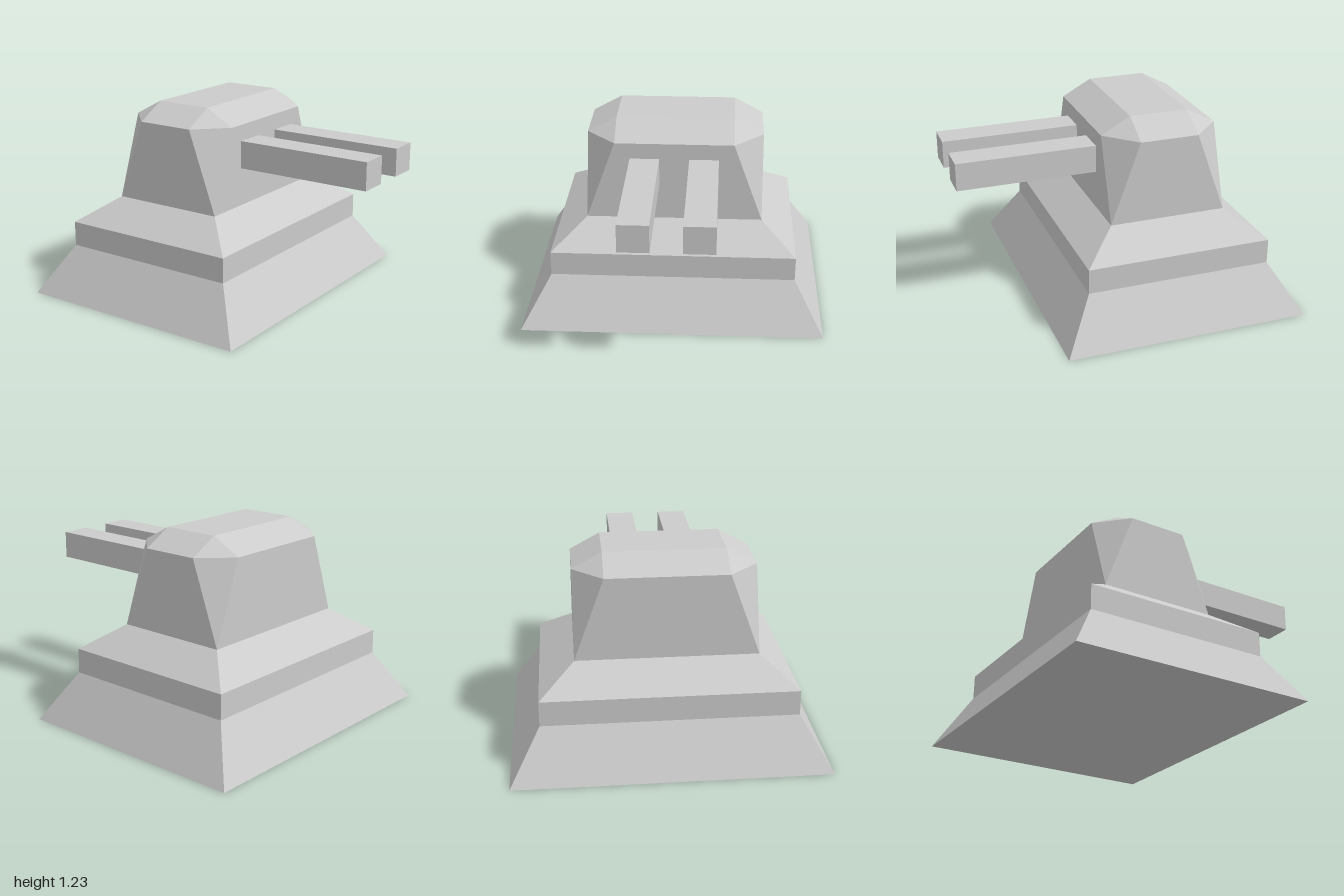
import * as THREE from 'three';

const CENTER_X = -0.2325;

// Eight-point rectangular ring; cut is the corner chamfer (0 = sharp corner)
function ring([y, hx, hz, cut = 0]) {
  const points = [];
  for (const [sx, sz] of [[1, 1], [1, -1], [-1, -1], [-1, 1]]) {
    const alongZ = [sx * hx, y, sz * (hz - cut)];
    const alongX = [sx * (hx - cut), y, sz * hz];
    points.push(...(sx === sz ? [alongX, alongZ] : [alongZ, alongX]));
  }
  return points.map(p => new THREE.Vector3(...p));
}

// Skin a stack of rings, bottom to top, with optional end caps
function loft(sections, capBottom, capTop) {
  const rings = sections.map(ring);
  const positions = [];
  const tri = (a, b, c) => {
    const area = b.clone().sub(a).cross(c.clone().sub(a)).length();
    if (area > 1e-6) for (const p of [a, b, c]) positions.push(p.x, p.y, p.z);
  };
  for (let r = 0; r < rings.length - 1; r++) {
    const lo = rings[r], hi = rings[r + 1];
    for (let i = 0; i < 8; i++) {
      const j = (i + 1) % 8;
      tri(lo[i], lo[j], hi[j]);
      tri(lo[i], hi[j], hi[i]);
    }
  }
  const first = rings[0], last = rings[rings.length - 1];
  for (let i = 1; i < 7; i++) {
    if (capBottom) tri(first[0], first[i + 1], first[i]);
    if (capTop) tri(last[0], last[i], last[i + 1]);
  }
  const geometry = new THREE.BufferGeometry();
  geometry.setAttribute('position', new THREE.Float32BufferAttribute(positions, 3));
  geometry.computeVertexNormals();
  return geometry;
}

export function createModel() {
  const model = new THREE.Group();
  model.name = 'gunTurret';
  const material = new THREE.MeshStandardMaterial({ color: 0xcccccc, flatShading: true });

  const add = (name, geometry, x, y, z) => {
    const mesh = new THREE.Mesh(geometry, material);
    mesh.name = name;
    mesh.position.set(x, y, z);
    model.add(mesh);
  };

  // Stepped base: flared skirt, vertical band, sloping shoulder
  add('base', loft([
    [0, 0.7675, 0.955],
    [0.31, 0.5825, 0.77],
    [0.465, 0.5825, 0.77],
    [0.62, 0.3675, 0.555],
  ], true, false), CENTER_X, 0, 0);

  // Turret house: square foot growing into chamfered corners, then a bevelled roof
  add('turretHouse', loft([
    [0.62, 0.3675, 0.555],
    [1.13, 0.3675, 0.555, 0.184],
    [1.23, 0.1835, 0.371],
  ], false, true), CENTER_X, 0, 0);

  // Twin square barrels, seated just inside the house wall
  for (const [name, side] of [['frontBarrel', 1], ['backBarrel', -1]]) {
    add(name, new THREE.BoxGeometry(0.87, 0.172, 0.184), 0.565, 0.943, side * 0.185);
  }

  return model;
}
